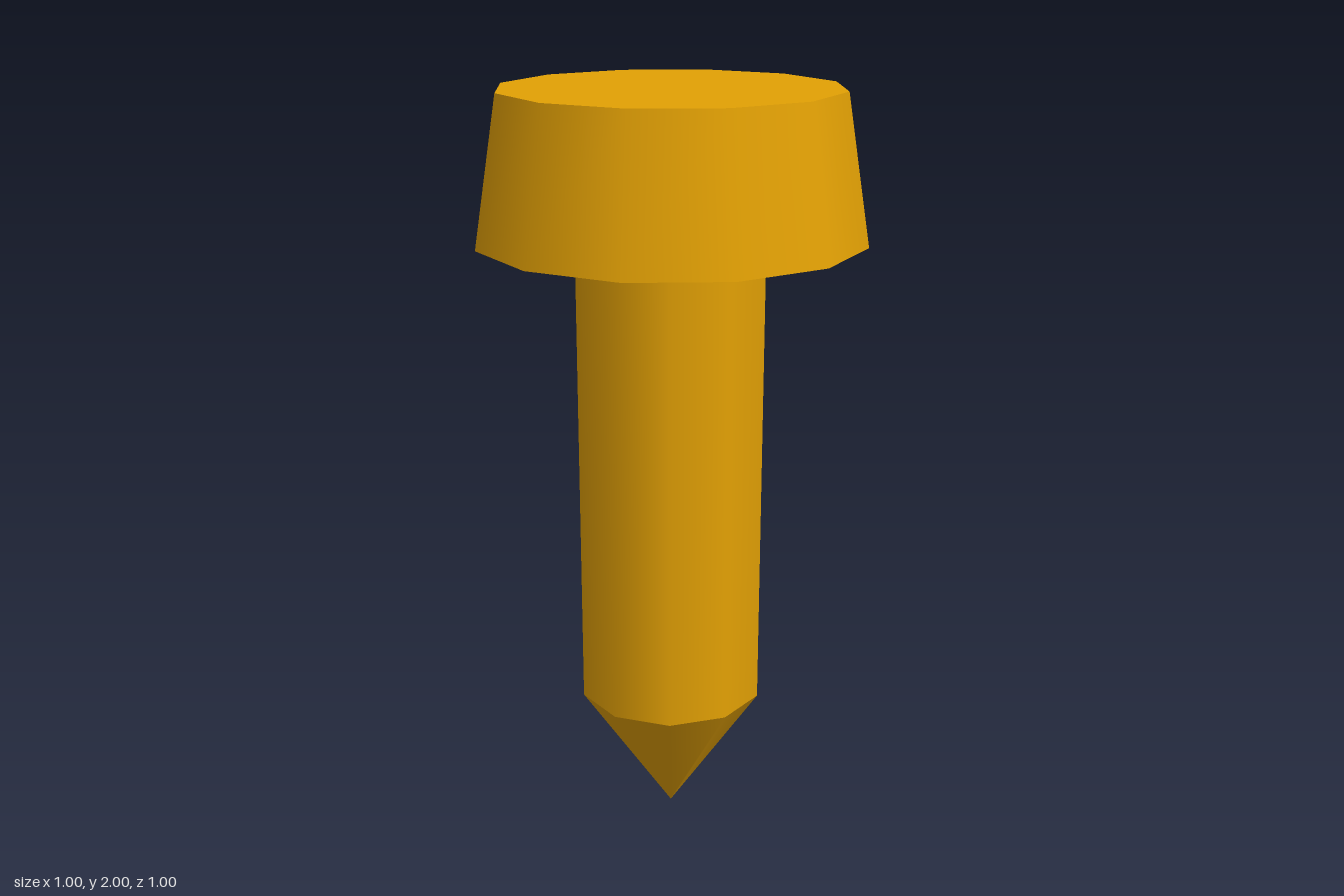
import * as THREE from 'three';

export function createModel() {
  const model = new THREE.Group();
  const gold = new THREE.MeshStandardMaterial({ color: 0xe3a104 });
  gold.name = 'gold';

  // Adds a tapered round section standing between two heights, with a corner on the x axis
  const addSection = (name, topRadius, bottomRadius, bottomY, topY, sides, open = false) => {
    const height = topY - bottomY;
    const geometry = new THREE.CylinderGeometry(
      topRadius, bottomRadius, height, sides, 1, open, Math.PI / 2);
    const mesh = new THREE.Mesh(geometry, gold);
    mesh.name = name;
    mesh.position.y = bottomY + height / 2;
    model.add(mesh);
  };

  addSection('head', 0.4375, 0.5, 1.625, 2, 12);
  addSection('shaft', 0.25, 0.25, 0.375, 1.625, 10);
  addSection('tip', 0.25, 0, 0, 0.375, 10, true);

  return model;
}
